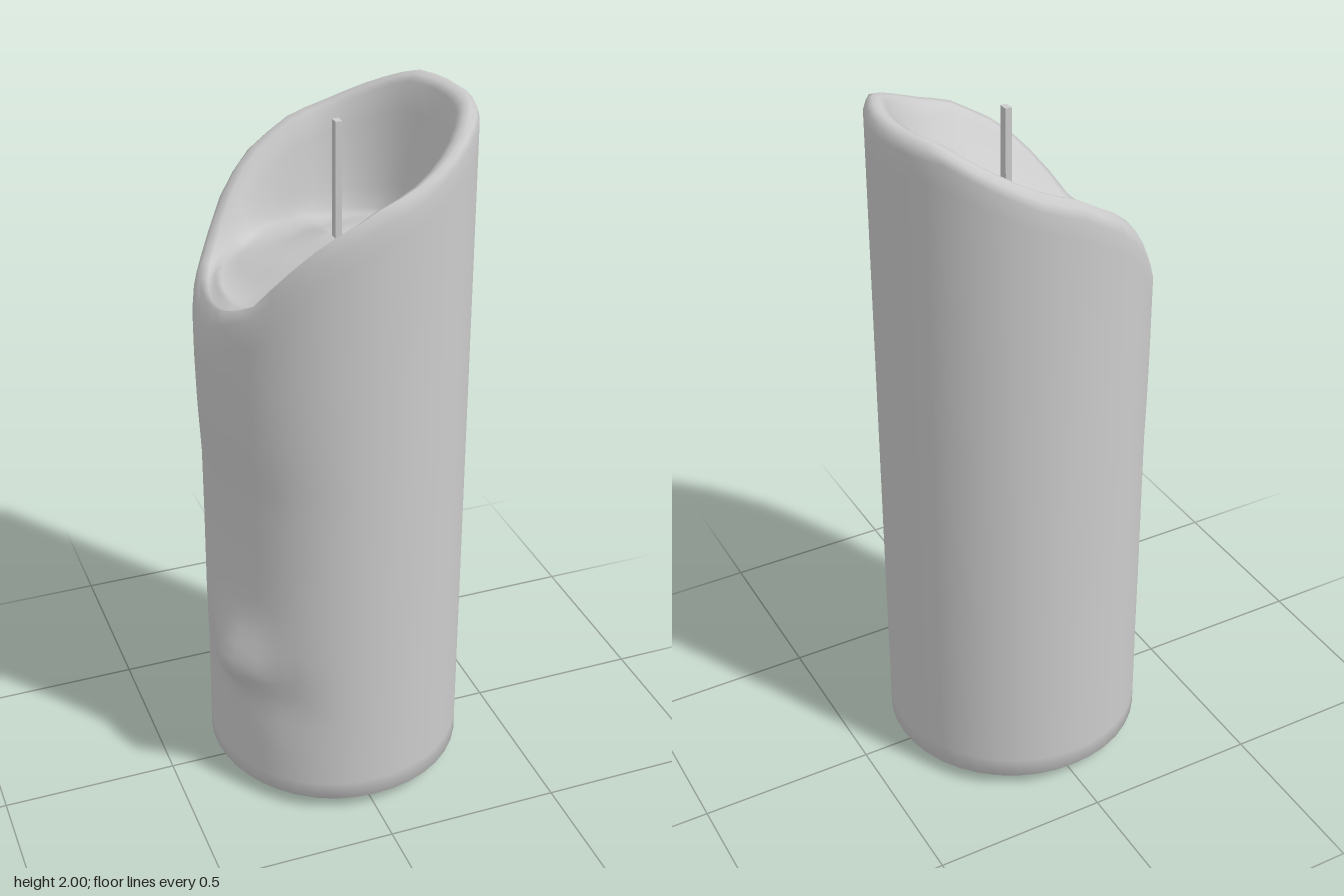
import * as THREE from 'three';

const SIDES = 40;
const gauss = (v, mid, width) => Math.exp(-(((v - mid) / width) ** 2));

// Linear interpolation through [input, output] pairs
function sample(points, v) {
  if (v <= points[0][0]) return points[0][1];
  for (let i = 1; i < points.length; i++) {
    const [a, p] = points[i - 1], [b, q] = points[i];
    if (v <= b) return p + (q - p) * (v - a) / (b - a);
  }
  return points[points.length - 1][1];
}

// The rim slopes from a tall side (+x) to a melted spout (-x)
const RIM = [[-0.365, 1.43], [-0.335, 1.505], [-0.27, 1.57], [-0.22, 1.66], [-0.13, 1.765],
  [0, 1.845], [0.12, 1.89], [0.22, 1.945], [0.3, 1.995], [0.37, 2]];
const rimHeight = (x) => sample(RIM, x);

// By angle: where the inner wall meets the pool (fraction of the lip's inner radius), and lip width
const FOOT = [[0, 0.68], [35, 0.66], [90, 0.3], [140, 0.4], [180, 0.5], [215, 0.8], [245, 0.85],
  [284, 0.7], [329, 0.72], [360, 0.68]];
const LIP = [[0, 0.065], [40, 0.055], [90, 0.04], [150, 0.05], [180, 0.06], [225, 0.07], [270, 0.075], [360, 0.065]];

// Uneven wax surface of the melted side, by height
const MELT = [[0, -0.012], [0.34, -0.018], [0.55, -0.015], [0.8, -0.018], [1, -0.018], [1.15, -0.004], [1.3, 0.002], [2, 0]];

function outerRadius(a, y) {
  const deg = a * 180 / Math.PI;
  const melted = gauss(deg, 165, 40);
  const drip = gauss(deg, 157, 14) * gauss(y, 0.45, y > 0.45 ? 0.13 : 0.07);
  const hollow = gauss(deg, 135, 16) * gauss(y, 0.36, 0.1);
  return 0.366 + 0.009 * Math.max(0, Math.cos(a)) + melted * sample(MELT, y) + 0.056 * drip - 0.012 * hollow;
}

function poolHeight(x, z) {
  return 1.64 + 0.38 * Math.min(x, 0) - 0.04 * gauss(x, 0.03, 0.18) * gauss(z, -0.17, 0.1);
}

function createBody() {
  const rows = [];
  const ring = (fn) => rows.push(Array.from({ length: SIDES }, (_, i) => {
    const a = (i / SIDES) * Math.PI * 2;
    return fn(a, Math.cos(a), Math.sin(a));
  }));
  const at = (r, y, c, s) => [r * c, y, r * s];

  // Base with a bevelled edge
  ring((a, c, s) => at(0.18, 0, c, s));
  ring((a, c, s) => at(outerRadius(a, 0) - 0.045, 0, c, s));
  ring((a, c, s) => at(outerRadius(a, 0.04), 0.04, c, s));

  // Outer wall, stretched up to the rim
  const steps = 32;
  for (let j = 1; j <= steps; j++) {
    ring((a, c, s) => {
      const top = rimHeight(0.368 * c) - 0.04;
      const y = 0.04 + (top - 0.04) * j / steps;
      return at(outerRadius(a, y), y, c, s);
    });
  }

  // Broad rounded lip, from outer shoulder over the crest to the inner edge
  const lipWidth = (a) => sample(LIP, a * 180 / Math.PI);
  const innerRadius = (a) => outerRadius(a, 1.6) - lipWidth(a);
  const crest = (c) => rimHeight(0.335 * c);
  const innerEdge = (a, c, s) => {
    const r = innerRadius(a);
    return Math.max(crest(c) - 0.3 * lipWidth(a), poolHeight(r * c, r * s));
  };
  ring((a, c, s) => at(outerRadius(a, 1.6) - 0.008, rimHeight(0.355 * c) - 0.014, c, s));
  ring((a, c, s) => at(outerRadius(a, 1.6) - 0.4 * lipWidth(a), crest(c), c, s));
  ring((a, c, s) => at(outerRadius(a, 1.6) - 0.7 * lipWidth(a), crest(c) - 0.006, c, s));
  ring((a, c, s) => at(innerRadius(a), innerEdge(a, c, s), c, s));

  // Inner wall and melted pool
  for (const k of [0.95, 0.9, 0.85, 0.8, 0.74, 0.68, 0.6, 0.5, 0.4, 0.28, 0.14]) {
    ring((a, c, s) => {
      const foot = sample(FOOT, a * 180 / Math.PI);
      const r = k * innerRadius(a);
      const floor = poolHeight(r * c, r * s);
      const t = Math.max(0, (k - foot) / (1 - foot));
      return at(r, floor + (innerEdge(a, c, s) - floor) * t ** 1.4, c, s);
    });
  }

  const positions = rows.flat(2);
  const bottom = rows.length * SIDES, centre = bottom + 1;
  positions.push(0, 0, 0, 0, poolHeight(0, 0), 0);
  const index = [];
  for (let i = 0; i < SIDES; i++) {
    const n = (i + 1) % SIDES;
    for (let j = 0; j < rows.length - 1; j++) {
      const p = j * SIDES, q = p + SIDES;
      index.push(p + i, q + i, q + n, p + i, q + n, p + n);
    }
    const last = (rows.length - 1) * SIDES;
    index.push(bottom, i, n, last + i, centre, last + n);
  }
  const geometry = new THREE.BufferGeometry();
  geometry.setAttribute('position', new THREE.Float32BufferAttribute(positions, 3));
  geometry.setIndex(index);
  geometry.computeVertexNormals();
  return geometry;
}

export function createModel() {
  const group = new THREE.Group();
  group.name = 'meltedCandle';
  const material = new THREE.MeshStandardMaterial({ color: 0xcccccc });

  const body = new THREE.Mesh(createBody(), material);
  body.name = 'waxBody';

  // Square wick standing in the pool
  const wick = new THREE.Mesh(new THREE.BoxGeometry(0.018, 0.34, 0.027), material);
  wick.name = 'wick';
  wick.position.set(0.01, 1.785, 0.02);

  group.add(body, wick);
  return group;
}
